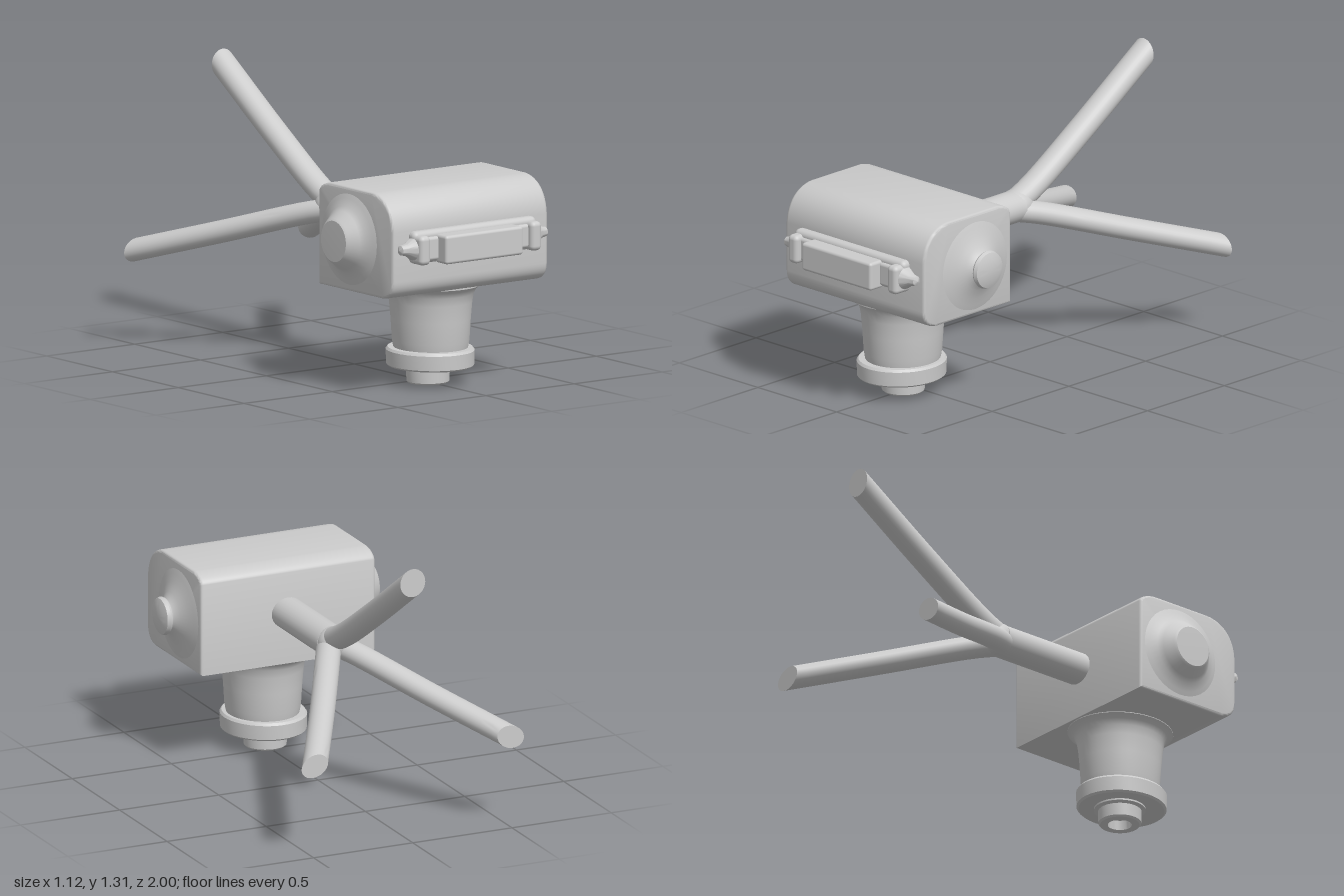
import * as THREE from 'three';
import { toCreasedNormals } from 'three/addons/utils/BufferGeometryUtils.js';
import { RoundedBoxGeometry } from 'three/addons/geometries/RoundedBoxGeometry.js';

const material = new THREE.MeshStandardMaterial({ color: 0xcccccc });
const V = (x, y, z) => new THREE.Vector3(x, y, z);

function add(parent, name, geometry, x = 0, y = 0, z = 0) {
  const mesh = new THREE.Mesh(geometry, material);
  mesh.name = name;
  mesh.position.set(x, y, z);
  parent.add(mesh);
  return mesh;
}

// Turned part from a list of [radius, height]
function turned(points) {
  const profile = points.map(([r, h]) => new THREE.Vector2(r, h));
  return toCreasedNormals(new THREE.LatheGeometry(profile, 40), 0.6);
}

// Round bar bent along a curve, its far end cut flat at z = cutZ
function limb(points, rx, ry, cutZ) {
  const curve = new THREE.CatmullRomCurve3(points);
  const geometry = new THREE.CylinderGeometry(1, 1, 1, 28, 16);
  const pos = geometry.attributes.position;
  for (let i = 0; i < pos.count; i++) {
    const u = THREE.MathUtils.clamp(pos.getY(i) + 0.5, 0, 1);
    const tangent = curve.getTangentAt(u);
    const side = V(0, 0, 0).crossVectors(tangent, V(0, 1, 0)).normalize();
    const up = V(0, 0, 0).crossVectors(side, tangent);
    const p = curve.getPointAt(u)
      .addScaledVector(side, pos.getX(i) * rx)
      .addScaledVector(up, pos.getZ(i) * ry);
    if (u > 0.999) p.addScaledVector(tangent, (cutZ - p.z) / tangent.z);
    pos.setXYZ(i, p.x, p.y, p.z);
  }
  return toCreasedNormals(geometry, 0.7);
}

// Housing: side outline pulled across the width (outline x is -z)
function housingGeometry() {
  const s = new THREE.Shape();
  s.moveTo(-0.315, 0.465);
  s.lineTo(-0.315, 0.9);
  s.quadraticCurveTo(-0.325, 0.935, -0.4, 0.945);
  s.lineTo(-0.72, 0.945);
  s.bezierCurveTo(-0.81, 0.94, -0.875, 0.88, -0.882, 0.78);
  s.lineTo(-0.882, 0.55);
  s.quadraticCurveTo(-0.88, 0.47, -0.79, 0.465);
  s.closePath();
  const geometry = new THREE.ExtrudeGeometry(s, {
    depth: 0.85, curveSegments: 12,
    bevelSize: 0.012, bevelOffset: -0.012, bevelThickness: 0.015, bevelSegments: 3,
  });
  geometry.translate(0, 0, -0.425);
  geometry.rotateY(Math.PI / 2);
  return toCreasedNormals(geometry, 0.6);
}

export function createModel() {
  const model = new THREE.Group();
  model.name = 'model';

  add(model, 'housing', housingGeometry());

  // Neck below the housing, with its collar and hollow spout
  const neck = add(model, 'neck', turned([
    [0.165, 0.16], [0.172, 0.2], [0.178, 0.3], [0.185, 0.38],
    [0.192, 0.42], [0.205, 0.445], [0.23, 0.462], [0.23, 0.48],
  ]), 0.005, 0, 0.573);
  neck.scale.z = 1.08;
  const collar = add(model, 'collar', turned([
    [0, 0.08], [0.185, 0.08], [0.194, 0.088], [0.196, 0.155], [0.188, 0.166], [0, 0.17],
  ]), 0, 0, 0.576);
  collar.scale.z = 1.1;
  add(model, 'spout', turned([
    [0, 0.045], [0.052, 0.045], [0.055, 0], [0.09, 0], [0.098, 0.008],
    [0.1, 0.065], [0.118, 0.072], [0.118, 0.085],
  ]), -0.003, 0, 0.563);

  // Side knobs: blunt cone on the right, stemmed button on the left
  const cone = add(model, 'rightKnob', turned([
    [0.22, 0], [0.19, 0.012], [0.155, 0.027], [0.135, 0.045],
    [0.105, 0.086], [0.095, 0.094], [0, 0.096],
  ]), -0.436, 0.705, 0.55);
  cone.rotation.z = Math.PI / 2;
  const button = add(model, 'leftKnob', turned([
    [0.22, 0], [0.185, 0.012], [0.15, 0.022], [0.105, 0.042], [0.075, 0.06],
    [0.07, 0.066], [0.084, 0.072], [0.089, 0.082], [0.083, 0.098], [0.055, 0.108], [0, 0.111],
  ]), 0.436, 0.697, 0.55);
  button.rotation.z = -Math.PI / 2;

  // Front clip: backing plate, bar, and a lug with a pointed tip on each side
  const clip = new THREE.Group();
  clip.name = 'frontClip';
  model.add(clip);
  add(clip, 'clipPlate', new RoundedBoxGeometry(0.7, 0.15, 0.06, 4, 0.025), 0, 0.705, 0.895);
  add(clip, 'clipBar', new RoundedBoxGeometry(0.44, 0.132, 0.09, 4, 0.014), -0.005, 0.694, 0.955);
  for (const s of [-1, 1]) {
    add(clip, 'clipLink', new RoundedBoxGeometry(0.1, 0.11, 0.06, 3, 0.015), s * 0.255, 0.697, 0.91);
    add(clip, 'clipLug', new RoundedBoxGeometry(0.06, 0.135, 0.1, 4, 0.022), s * 0.315, 0.697, 0.92);
    const tip = add(clip, 'clipTip', turned([
      [0.06, 0], [0.05, 0.025], [0.028, 0.055], [0.022, 0.085], [0, 0.095],
    ]), s * 0.325, 0.7, 0.9);
    tip.rotation.z = -s * Math.PI / 2;
  }

  // Rear pole branching into three arms
  add(model, 'pole', limb([V(0, 0.708, 0.33), V(0, 0.708, 0.1), V(0, 0.708, -0.16)], 0.082, 0.073, -0.16));
  const joint = add(model, 'poleJoint', new THREE.SphereGeometry(1, 28, 18), 0, 0.71, -0.17);
  joint.scale.set(0.08, 0.076, 0.08);
  add(model, 'upperArm', limb(
    [V(0, 0.71, -0.12), V(0, 0.77, -0.26), V(0, 0.98, -0.6), V(0, 1.235, -0.985)], 0.063, 0.056, -1));
  for (const s of [-1, 1]) {
    add(model, s > 0 ? 'leftArm' : 'rightArm', limb(
      [V(0, 0.7, -0.12), V(s * 0.07, 0.672, -0.25), V(s * 0.275, 0.555, -0.62), V(s * 0.485, 0.442, -0.985)],
      0.058, 0.052, -1));
  }
  return model;
}
